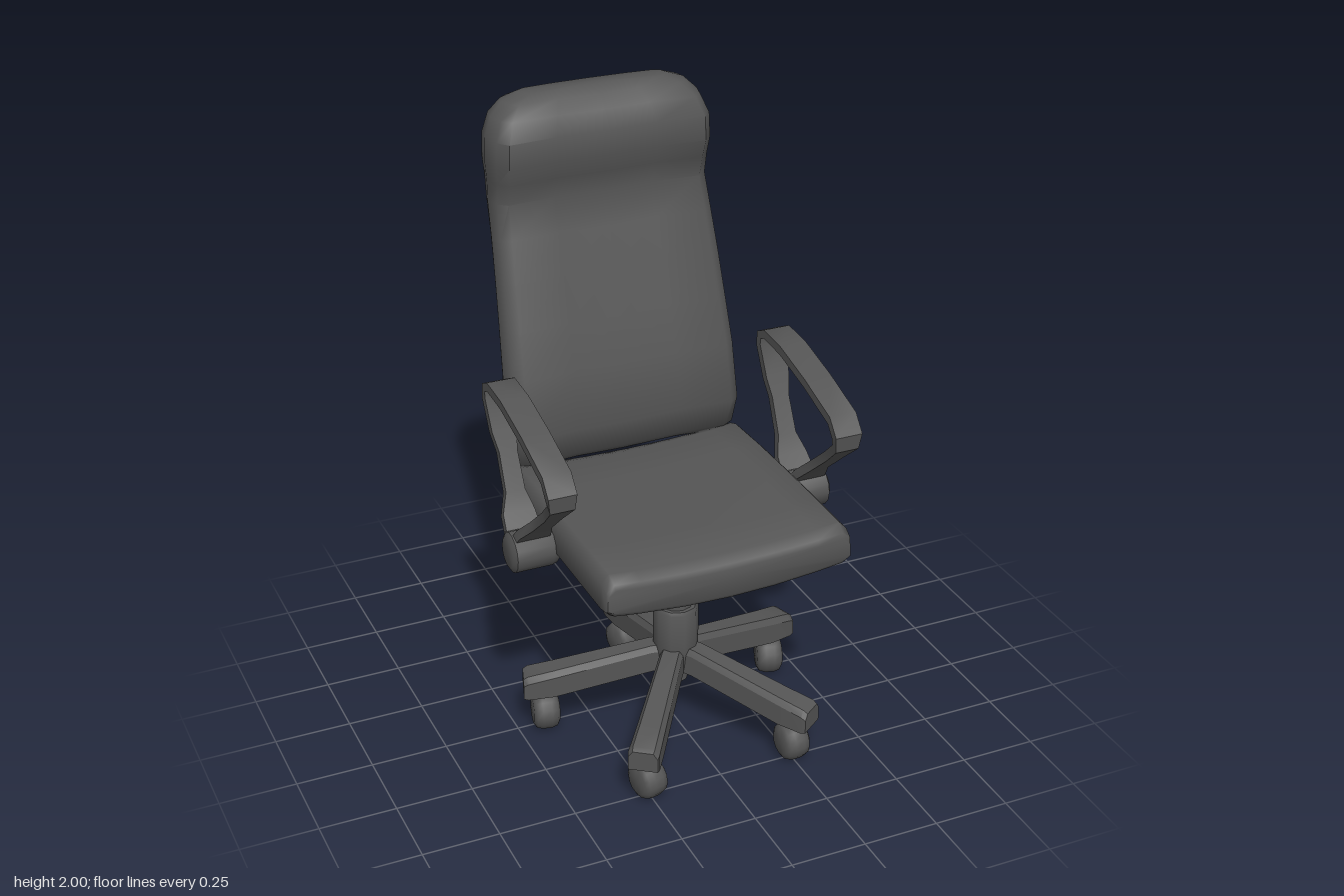
import * as THREE from 'three';
import { toCreasedNormals } from 'three/addons/utils/BufferGeometryUtils.js';

const material = new THREE.MeshStandardMaterial({ color: 0x555555 });
const AXIS_Z = 0.15; // the column stands slightly forward of centre

function part(name, geometry, parent) {
  const mesh = new THREE.Mesh(geometry, material);
  mesh.name = name;
  parent.add(mesh);
  return mesh;
}

// Skin a list of equal-length rings of [x, y, z], capped at both ends.
function loft(rings, crease = 0.7) {
  const n = rings[0].length, pos = rings.flat(2), index = [];
  const tri = (a, b, c) => index.push(a, b, c);
  for (let i = 0; i < rings.length - 1; i++) {
    for (let j = 0; j < n; j++) {
      const a = i * n + j, b = i * n + (j + 1) % n;
      tri(a, b, b + n);
      tri(a, b + n, a + n);
    }
  }
  [0, rings.length - 1].forEach((r, end) => {
    const c = pos.length / 3;
    for (let k = 0; k < 3; k++) pos.push(rings[r].reduce((s, p) => s + p[k], 0) / n);
    for (let j = 0; j < n; j++) {
      const a = r * n + j, b = r * n + (j + 1) % n;
      end ? tri(a, b, c) : tri(b, a, c);
    }
  });
  // Signed volume tells whether the skin faces outward
  let volume = 0;
  const p = (i) => new THREE.Vector3().fromArray(pos, i * 3);
  for (let i = 0; i < index.length; i += 3) {
    volume += p(index[i]).dot(p(index[i + 1]).cross(p(index[i + 2])));
  }
  if (volume < 0) index.reverse();
  const geo = new THREE.BufferGeometry();
  geo.setAttribute('position', new THREE.Float32BufferAttribute(pos, 3));
  geo.setIndex(index);
  return toCreasedNormals(geo, crease);
}

function lathe(points, sides) {
  const profile = points.map(([r, y]) => new THREE.Vector2(r, y));
  return toCreasedNormals(new THREE.LatheGeometry(profile, sides), 0.8);
}

// Seat cushion: dished cross-sections along z, drawn in at both ends
function seatGeometry() {
  const stations = [[0.555, 0.042], [0.548, 0.025], [0.515, 0.005], [0.35, 0.002], [0.15, 0],
    [-0.05, 0.002], [-0.215, 0.008], [-0.25, 0.02], [-0.26, 0.045]];
  const xs = [-0.385, -0.3, -0.15, 0, 0.15, 0.3, 0.385];
  return loft(stations.map(([z, inset]) => {
    const k = 1 - inset * 0.4;
    const top = (x) => 0.835 + 0.018 * (x / 0.4) ** 2 - inset;
    const low = (x) => 0.675 + 0.03 * (x / 0.4) ** 2 + inset * 0.7;
    return [
      ...xs.map((x) => [x * k, top(x), z]),
      [0.41 * k, 0.825 - inset * 0.8, z], [0.413 * k, 0.735 + inset * 0.2, z],
      ...[...xs].reverse().map((x) => [x * k, low(x), z]),
      [-0.413 * k, 0.735 + inset * 0.2, z], [-0.41 * k, 0.825 - inset * 0.8, z],
    ];
  }), 0.9);
}

// Backrest: rows of [y, half width, front z, back z]
function backrestGeometry() {
  const rows = [
    [0.815, 0.385, -0.255, -0.345], [0.84, 0.402, -0.23, -0.355], [0.94, 0.41, -0.2, -0.368],
    [1.13, 0.403, -0.235, -0.378], [1.28, 0.395, -0.28, -0.415], [1.43, 0.387, -0.325, -0.457],
    [1.56, 0.379, -0.365, -0.505], [1.67, 0.373, -0.4, -0.555], [1.74, 0.374, -0.38, -0.573],
    [1.8, 0.38, -0.365, -0.582], [1.88, 0.376, -0.365, -0.587], [1.94, 0.352, -0.393, -0.583],
    [1.98, 0.31, -0.43, -0.565], [2.0, 0.25, -0.465, -0.54]];
  return loft(rows.map(([y, w, f, b]) => {
    const d = f - b;
    const half = [[0.45, f - 0.012], [0.88, f], [0.96, f - 0.16 * d], [1, f - 0.45 * d],
      [0.97, b + 0.28 * d], [0.88, b + 0.12 * d], [0.5, b + 0.03 * d]];
    return [
      [0, y, f - 0.006], ...half.map(([x, z]) => [x * w, y, z]),
      [0, y, b], ...[...half].reverse().map(([x, z]) => [-x * w, y, z]),
    ];
  }), 0.9);
}

// Armrest band: path of [z, y, inner x, outer x], swept as a flat strip
function armBandGeometry(side) {
  const path = [
    [0.1, 0.765, 0.42, 0.54], [0.145, 0.82, 0.425, 0.53], [0.2, 0.872, 0.443, 0.507],
    [0.3, 0.957, 0.445, 0.505], [0.372, 1.02, 0.435, 0.515], [0.378, 1.06, 0.43, 0.522],
    [0.34, 1.105, 0.43, 0.522], [0.17, 1.158, 0.43, 0.522], [0, 1.198, 0.43, 0.522],
    [-0.115, 1.206, 0.43, 0.522], [-0.15, 1.19, 0.43, 0.522], [-0.153, 1.155, 0.43, 0.522],
    [-0.11, 1.05, 0.435, 0.517], [-0.085, 0.99, 0.445, 0.505], [-0.03, 0.875, 0.443, 0.507],
    [0.005, 0.815, 0.425, 0.53], [0.08, 0.74, 0.42, 0.54]];
  const t = 0.015;
  return loft(path.map(([z, y, a, b], i) => {
    const q = path[Math.max(i - 1, 0)], r = path[Math.min(i + 1, path.length - 1)];
    const len = Math.hypot(r[0] - q[0], r[1] - q[1]);
    const nz = (r[1] - q[1]) / len * t, ny = -(r[0] - q[0]) / len * t;
    return [[side * a, y + ny, z + nz], [side * b, y + ny, z + nz],
      [side * b, y - ny, z - nz], [side * a, y - ny, z - nz]];
  }), 0.6);
}

// Base leg along +z: stations of [distance, half width, bottom y, top y]
function legGeometry() {
  const stations = [[0, 0.036, 0.215, 0.305], [0.08, 0.038, 0.212, 0.303], [0.4, 0.047, 0.14, 0.232],
    [0.485, 0.05, 0.135, 0.215], [0.5, 0.047, 0.138, 0.205]];
  return loft(stations.map(([z, w, lo, hi]) => [
    [-w, lo, z], [w, lo, z], [w, hi - 0.02, z], [w * 0.7, hi, z], [-w * 0.7, hi, z], [-w, hi - 0.02, z],
  ]), 0.4);
}

export function createModel() {
  const chair = new THREE.Group();
  chair.name = 'officeChair';

  part('seat', seatGeometry(), chair);
  part('backrest', backrestGeometry(), chair);

  // Armrests with a round pivot at the seat side
  for (const side of [1, -1]) {
    const arm = new THREE.Group();
    arm.name = side > 0 ? 'leftArmrest' : 'rightArmrest';
    part('armBand', armBandGeometry(side), arm);
    const pivot = part('armPivot', lathe(
      [[0, 0.4], [0.06, 0.4], [0.066, 0.42], [0.066, 0.54], [0.05, 0.55], [0, 0.55]], 14), arm);
    pivot.rotation.z = -side * Math.PI / 2;
    pivot.position.set(0, 0.737, 0.1);
    chair.add(arm);
  }

  // Telescoping column with the hub at its foot
  const column = part('column', lathe([
    [0, 0.165], [0.04, 0.165], [0.04, 0.215], [0.065, 0.225], [0.074, 0.3], [0.074, 0.435],
    [0.068, 0.447], [0.055, 0.447], [0.055, 0.575], [0.05, 0.583], [0.039, 0.583], [0.039, 0.7], [0, 0.7],
  ], 10), chair);
  column.position.z = AXIS_Z;

  // Five-star base, one leg pointing straight back
  const leg = legGeometry();
  const wheel = lathe([[0, -0.043], [0.043, -0.043], [0.058, -0.034], [0.064, -0.015],
    [0.064, 0.015], [0.058, 0.034], [0.043, 0.043], [0, 0.043]], 14);
  const stem = new THREE.CylinderGeometry(0.012, 0.012, 0.06, 8);
  const swivel = [0.3, -0.2, 0.25, 0.05, -0.3];
  for (let i = 0; i < 5; i++) {
    const angle = Math.PI + i * Math.PI * 2 / 5;
    const baseLeg = part('baseLeg', leg, chair);
    baseLeg.position.z = AXIS_Z;
    baseLeg.rotation.y = angle;

    const caster = new THREE.Group();
    caster.name = 'caster';
    caster.position.set(Math.sin(angle) * 0.43, 0.064, AXIS_Z + Math.cos(angle) * 0.43);
    caster.rotation.y = swivel[i];
    part('casterWheel', wheel, caster).rotation.z = Math.PI / 2;
    part('casterStem', stem, caster).position.y = 0.06;
    chair.add(caster);
  }
  return chair;
}
